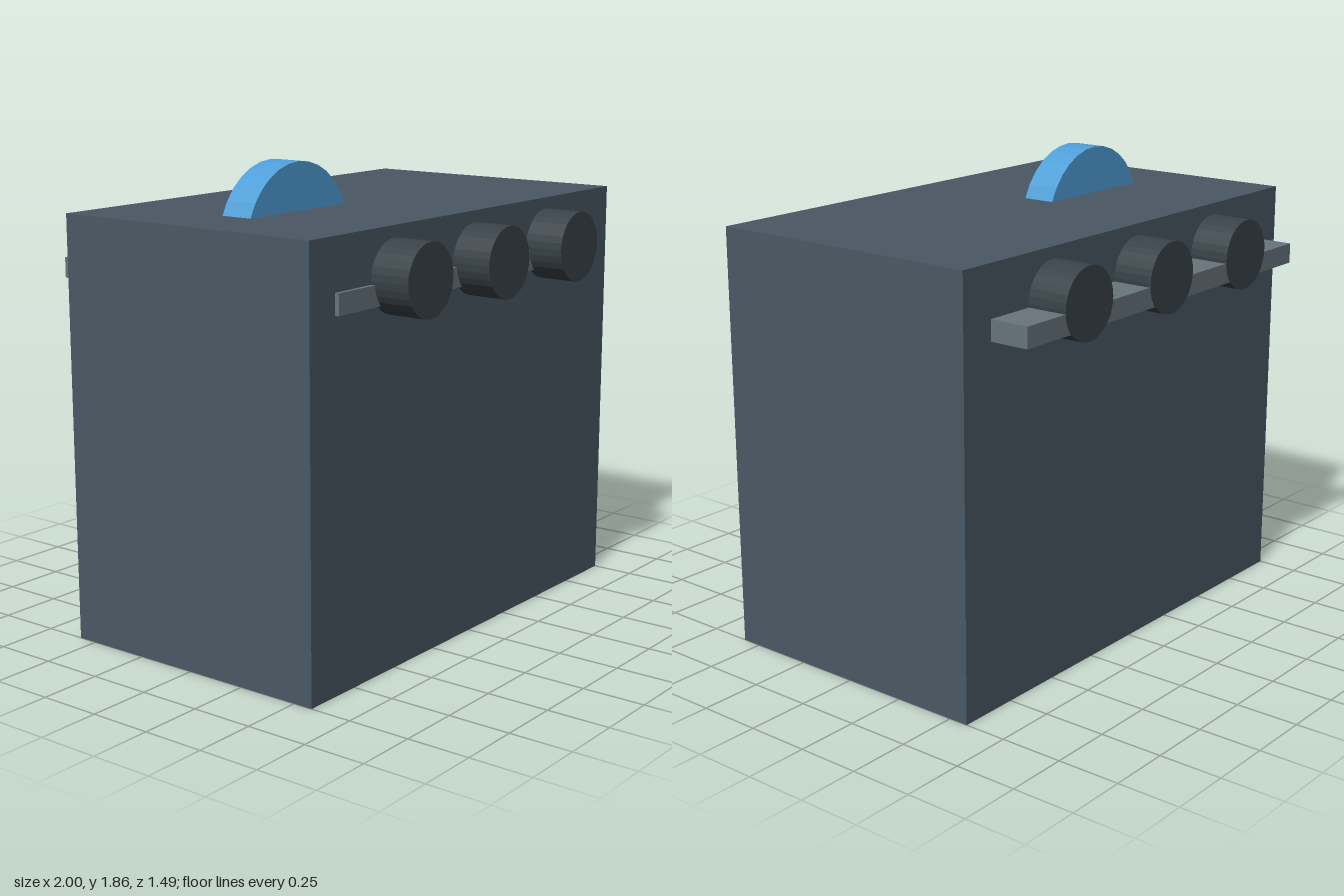
import * as THREE from 'three';

const material = (color) => new THREE.MeshStandardMaterial({ color, flatShading: true });

export function createModel() {
  const model = new THREE.Group();
  const bodyMat = material(0x4a5864);
  const knobMat = material(0x384248);
  const railMat = material(0x68747c);
  const wheelMat = material(0x4f9fd8);

  const add = (name, geometry, mat, x, y, z) => {
    const mesh = new THREE.Mesh(geometry, mat);
    mesh.name = name;
    mesh.position.set(x, y, z);
    model.add(mesh);
    return mesh;
  };
  // Box spanning z0..z1, and a disc whose axis runs along z
  const block = (name, w, h, z0, z1, mat, x, y) =>
    add(name, new THREE.BoxGeometry(w, h, z1 - z0), mat, x, y, (z0 + z1) / 2);
  const disc = (name, r, z0, z1, mat, x, y) =>
    add(name, new THREE.CylinderGeometry(r, r, z1 - z0, 32).rotateX(Math.PI / 2), mat, x, y, (z0 + z1) / 2);

  // Main case
  block('body', 2, 1.675, -0.58, 0.58, bodyMat, 0, 0.8375);

  // Rails: shallow at the front, deep at the back
  block('frontRail', 1.715, 0.08, 0.5, 0.597, railMat, -0.003, 1.438);
  block('backRail', 1.715, 0.08, -0.741, -0.5, railMat, -0.003, 1.438);

  // Three knobs on each long side
  for (const x of [-0.515, -0.003, 0.508]) {
    disc('frontKnob', 0.139, 0.5, 0.741, knobMat, x, 1.491);
    disc('backKnob', 0.139, -0.744, -0.5, knobMat, x, 1.491);
  }

  // Thumb wheel, half sunk into the top
  disc('topWheel', 0.303, -0.07, 0.066, wheelMat, -0.42, 1.559);

  return model;
}
